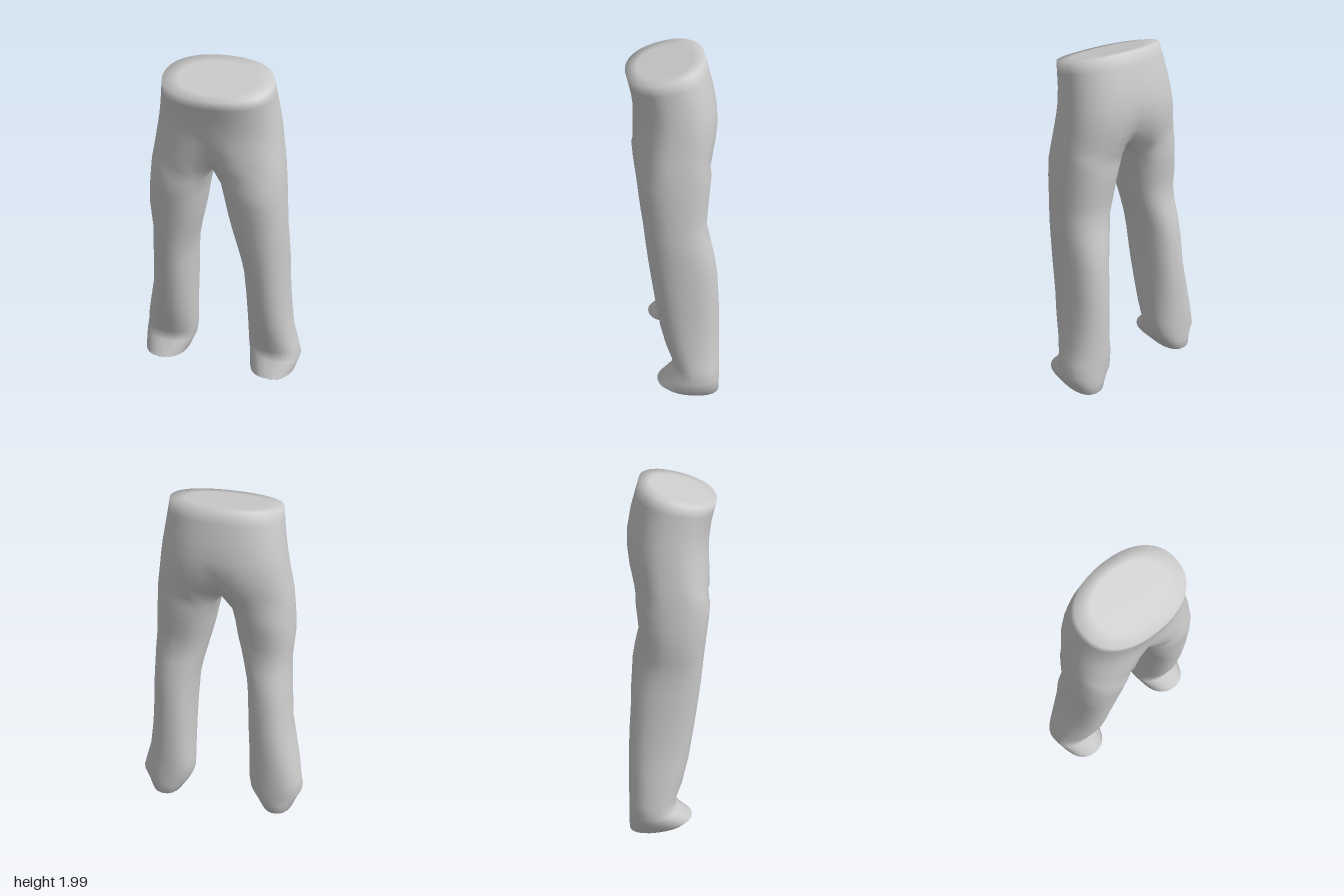
import * as THREE from 'three';

const HALF = 20;    // steps around half of the hips
const SADDLE = 6;   // steps along the crotch, front to back
const WRAP = 145 / 90;

// Rows: [yFront, yBack, xMin, xMax, zFront, zBack, centre pinch, roundness]
const HIPS = [
  [1.9, 2.0, -0.29, 0.315, 0.25, -0.17, 0, 0.9],
  [1.85, 1.93, -0.3, 0.322, 0.238, -0.19, 0, 0.88],
  [1.78, 1.83, -0.313, 0.333, 0.222, -0.218, 0, 0.86],
  [1.7, 1.73, -0.328, 0.347, 0.212, -0.236, 0, 0.84],
  [1.64, 1.65, -0.34, 0.357, 0.214, -0.241, 0.01, 0.82],
  [1.57, 1.57, -0.35, 0.367, 0.217, -0.232, 0.025, 0.78],
  [1.51, 1.51, -0.36, 0.376, 0.217, -0.218, 0.05, 0.74],
  [1.455, 1.455, -0.368, 0.384, 0.217, -0.207, 0.095, 0.7],
];

// Rows: [yFront, yBack, inner x, outer x, zFront, zBack]
const LEFT_LEG = [
  [1.38, 1.38, 0.032, 0.392, 0.213, -0.193],
  [1.28, 1.28, 0.055, 0.4, 0.205, -0.182],
  [1.18, 1.18, 0.075, 0.405, 0.193, -0.173],
  [1.09, 1.09, 0.097, 0.41, 0.183, -0.167],
  [1.0, 1.0, 0.12, 0.415, 0.174, -0.188],
  [0.9, 0.9, 0.145, 0.417, 0.163, -0.21],
  [0.8, 0.8, 0.163, 0.42, 0.15, -0.226],
  [0.6, 0.6, 0.175, 0.425, 0.122, -0.239],
  [0.45, 0.45, 0.18, 0.438, 0.098, -0.242],
  [0.32, 0.32, 0.18, 0.452, 0.066, -0.244],
  [0.22, 0.22, 0.176, 0.478, 0.03, -0.245],
  [0.15, 0.13, 0.182, 0.498, 0.03, -0.246],
  [0.085, 0.07, 0.205, 0.48, 0.12, -0.246],
  [0.055, 0.01, 0.24, 0.455, 0.085, -0.245],
];
const RIGHT_LEG = [
  [1.38, 1.38, -0.032, -0.376, 0.213, -0.193],
  [1.28, 1.28, -0.053, -0.386, 0.205, -0.182],
  [1.18, 1.18, -0.068, -0.391, 0.193, -0.173],
  [1.09, 1.09, -0.088, -0.384, 0.183, -0.167],
  [1.0, 1.0, -0.112, -0.38, 0.174, -0.188],
  [0.9, 0.9, -0.135, -0.388, 0.163, -0.21],
  [0.8, 0.8, -0.146, -0.395, 0.15, -0.226],
  [0.6, 0.6, -0.155, -0.41, 0.122, -0.239],
  [0.45, 0.45, -0.163, -0.442, 0.098, -0.242],
  [0.32, 0.32, -0.168, -0.47, 0.066, -0.244],
  [0.22, 0.22, -0.172, -0.487, 0.03, -0.245],
  [0.15, 0.13, -0.184, -0.5, 0.03, -0.246],
  [0.085, 0.07, -0.21, -0.48, 0.12, -0.246],
  [0.055, 0.01, -0.25, -0.46, 0.085, -0.245],
];

const bend = (v, e) => Math.sign(v) * Math.abs(v) ** e;

// Point on a rounded, tilted cross-section
function sectionPoint([yF, yB, xA, xB, zF, zB, pinch = 0, e = 0.88], degrees) {
  const a = THREE.MathUtils.degToRad(degrees);
  const c = bend(Math.cos(a), e), s = bend(Math.sin(a), e);
  const x = (xA + xB) / 2 + (Math.abs(xB - xA) / 2) * c;
  const z = (zF + zB) / 2 + ((zF - zB) / 2) * s;
  const y = yB + ((yF - yB) * (s + 1)) / 2;
  return [x, y, z - Math.sign(s) * pinch * Math.exp(-((c / 0.2) ** 2))];
}

function buildTrousers() {
  const positions = [], indices = [];
  const add = (p) => positions.push(...p) / 3 - 1;
  const strip = (upper, lower) => upper.forEach((p, i) => {
    const j = (i + 1) % upper.length;
    indices.push(p, upper[j], lower[i], upper[j], lower[j], lower[i]);
  });
  const pointAt = (i) => positions.slice(i * 3, i * 3 + 3);

  // Closing surface: an inset ring and a centre point
  function cap(ring, inset, up) {
    const mid = [0, 1, 2].map((k) => ring.reduce((sum, i) => sum + positions[i * 3 + k], 0) / ring.length);
    const inner = ring.map((i) => add(pointAt(i).map((v, k) => mid[k] + (v - mid[k]) * inset)));
    const centre = add(mid);
    if (up) strip(inner, ring); else strip(ring, inner);
    inner.forEach((p, i) => {
      const n = inner[(i + 1) % inner.length];
      indices.push(...(up ? [centre, n, p] : [centre, p, n]));
    });
  }

  // Hips, starting from the back centre
  const hipRings = HIPS.map((row) => Array.from({ length: HALF * 2 },
    (_, i) => add(sectionPoint(row, -90 + (i * 180) / HALF))));
  hipRings.slice(1).forEach((ring, i) => strip(hipRings[i], ring));
  cap(hipRings[0], 0.72, true);

  // Crotch line shared by both legs
  const last = hipRings.at(-1), back = last[0], front = last[HALF];
  const saddle = [];
  for (let i = 1; i < SADDLE; i++) {
    const t = i / SADDLE;
    const p = pointAt(front).map((v, k) => THREE.MathUtils.lerp(v, pointAt(back)[k], t));
    p[0] = 0;
    p[1] -= 0.012 * Math.sin(Math.PI * t);
    saddle.push(add(p));
  }

  // Legs: half of the hip ring plus the crotch line, lofted down to the hem
  const leg = (rows, start, middle) => {
    let ring = start;
    for (const row of rows) {
      const next = start.map((_, i) => {
        const angle = i <= HALF
          ? (-90 + (i * 180) / HALF) * WRAP
          : 90 * WRAP + ((i - HALF) / SADDLE) * (360 - 180 * WRAP);
        return add(sectionPoint(row, middle + angle));
      });
      strip(ring, next);
      ring = next;
    }
    cap(ring, 0.88, false);
  };
  leg(LEFT_LEG, [...last.slice(0, HALF + 1), ...saddle], 0);
  leg(RIGHT_LEG, [...last.slice(HALF), back, ...saddle.slice().reverse()], 180);

  const geometry = new THREE.BufferGeometry();
  geometry.setAttribute('position', new THREE.Float32BufferAttribute(positions, 3));
  geometry.setIndex(indices);
  geometry.computeVertexNormals();
  return geometry;
}

export function createModel() {
  const group = new THREE.Group();
  group.name = 'trousers';
  const cloth = new THREE.Mesh(buildTrousers(), new THREE.MeshStandardMaterial({ color: 0xcccccc }));
  cloth.name = 'trouserCloth';
  group.add(cloth);
  return group;
}
